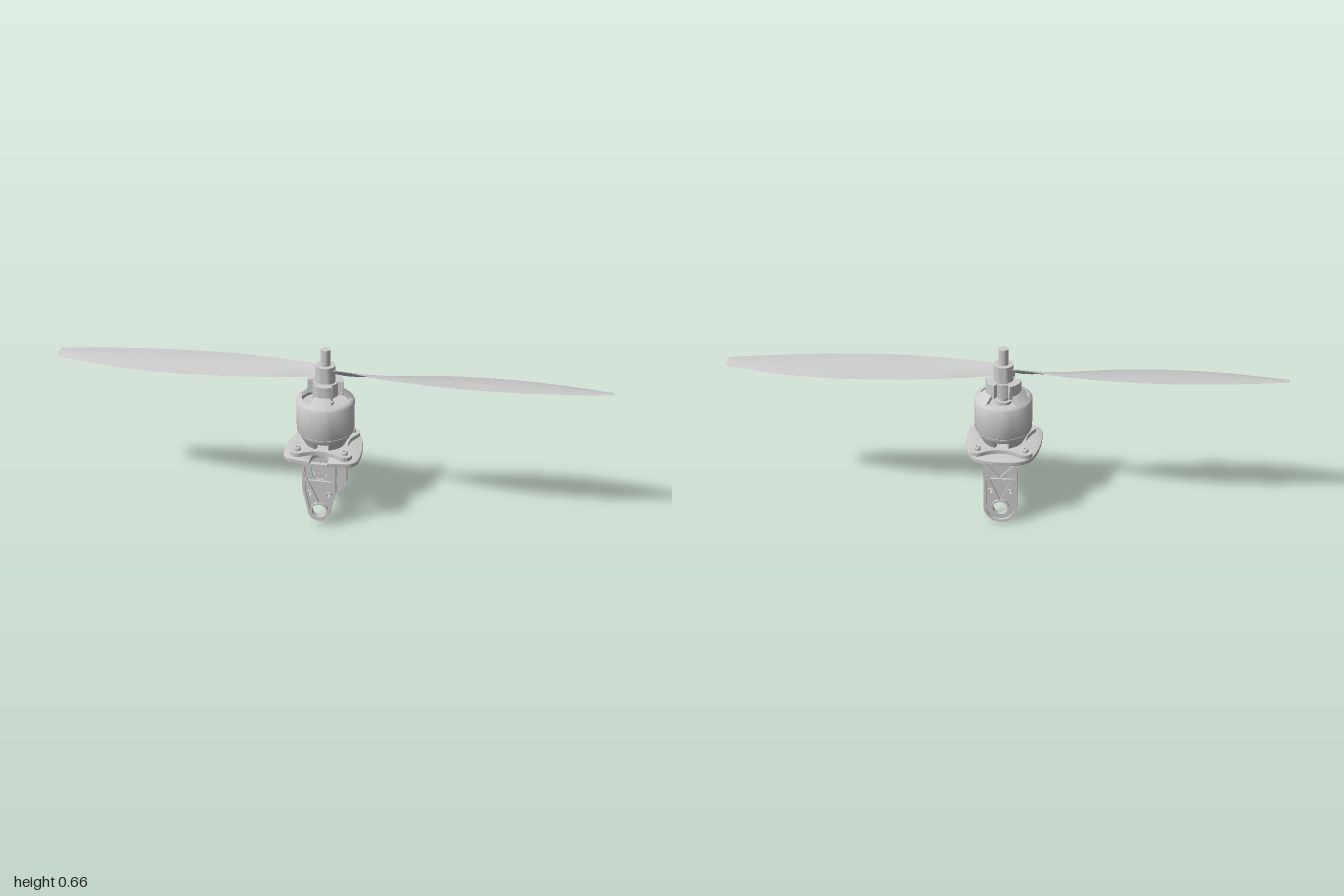
import * as THREE from 'three';
import { toCreasedNormals } from 'three/addons/utils/BufferGeometryUtils.js';

const V2 = (a) => a.map(([x, y]) => new THREE.Vector2(x, y));
const mat = new THREE.MeshStandardMaterial({ color: 0xcccccc, side: THREE.DoubleSide });

function add(parent, name, geo, x = 0, y = 0, z = 0) {
  const m = new THREE.Mesh(toCreasedNormals(geo, 0.6), mat);
  m.name = name;
  m.position.set(x, y, z);
  parent.add(m);
  return m;
}
const lathe = (pts, seg = 40) => new THREE.LatheGeometry(V2(pts), seg);
const extrude = (shape, depth) =>
  new THREE.ExtrudeGeometry(shape, { depth, bevelEnabled: false, curveSegments: 16 });
const circle = (x, y, r) => new THREE.Path().absarc(x, y, r, 0, Math.PI * 2, true);

// Solid wedge of a revolved profile, centred on angle a (measured from +z)
function sector(parent, name, profile, a, half) {
  const g = new THREE.Group();
  g.name = name;
  add(g, name + 'Skin', new THREE.LatheGeometry(V2([...profile, profile[0]]), 10, a - half, half * 2));
  for (const s of [-1, 1]) {
    const cap = add(g, name + 'Side', new THREE.ShapeGeometry(new THREE.Shape(V2(profile))));
    cap.rotation.y = a + s * half - Math.PI / 2;
  }
  parent.add(g);
}

// Leg outline: straight sides running into a rounded foot
function legOutline(Type, hw, r, cy, top) {
  const s = new Type();
  s.moveTo(-hw, top);
  s.lineTo(-hw, 0.15);
  s.lineTo(-r, cy);
  s.absarc(0, cy, r, Math.PI, Math.PI * 2, false);
  s.lineTo(hw, 0.15);
  s.lineTo(hw, top);
  s.closePath();
  return s;
}

// Leg facing +z: flat web inside, raised rim and ribs outside
function makeLeg(name, footR, outerZ, windowed) {
  const g = new THREE.Group();
  g.name = name;
  const cy = 0.065, hw = 0.062, inner = outerZ - 0.017;
  const web = legOutline(THREE.Shape, hw, footR, cy, 0.264);
  web.holes.push(circle(0, cy, 0.027));
  for (const s of [-1, 1]) web.holes.push(circle(s * 0.035, 0.135, 0.007));
  if (windowed) {
    const w = new THREE.Path();
    w.moveTo(-0.028, 0.256);
    w.lineTo(-0.028, 0.222);
    w.absarc(0, 0.222, 0.028, Math.PI, Math.PI * 2, false);
    w.lineTo(0.028, 0.256);
    w.closePath();
    web.holes.push(w);
  }
  add(g, 'legWeb', extrude(web, 0.008), 0, 0, inner);

  const rim = legOutline(THREE.Shape, hw, footR, cy, 0.264);
  rim.holes.push(legOutline(THREE.Path, hw - 0.01, footR - 0.01, cy, 0.254));
  add(g, 'legRim', extrude(rim, 0.009), 0, 0, inner + 0.008);

  const boss = new THREE.Shape().absarc(0, cy, 0.034, 0, Math.PI * 2);
  boss.holes.push(circle(0, cy, 0.027));
  add(g, 'pivotBoss', extrude(boss, 0.009), 0, 0, inner + 0.008);

  const zr = inner + 0.012;
  for (const s of [-1, 1]) {
    // diagonal ribs, screw bosses and inner gussets
    add(g, 'diagonalRib', new THREE.BoxGeometry(0.006, 0.11, 0.008), s * 0.026, 0.15, zr).rotation.z = s * -0.42;
    if (!windowed)
      add(g, 'upperRib', new THREE.BoxGeometry(0.006, 0.075, 0.008), s * 0.027, 0.225, zr).rotation.z = s * -0.75;
    const ring = new THREE.Shape().absarc(s * 0.035, 0.135, 0.012, 0, Math.PI * 2);
    ring.holes.push(circle(s * 0.035, 0.135, 0.007));
    add(g, 'screwBoss', extrude(ring, 0.007), 0, 0, inner + 0.008);
    const gusset = new THREE.Shape(V2([[0, 0.155], [0, 0.264], [0.03, 0.264]]));
    add(g, 'gusset', extrude(gusset, 0.008), s * 0.052 + 0.004, 0, inner).rotation.y = Math.PI / 2;
    g.children.at(-1).position.x -= 0.008;
  }
  add(g, 'crossRib', new THREE.BoxGeometry(0.104, 0.006, 0.008), 0, 0.19, zr);
  return g;
}

// Twisted thin blade running along +x, lofted between its two edges
function bladeGeometry() {
  const rows = [ // x, back z, front z, back y, front y
    [0.0, -0.02, 0.02, 0.565, 0.59], [0.08, -0.018, 0.03, 0.556, 0.593], [0.2, -0.042, 0.052, 0.556, 0.59],
    [0.4, -0.077, 0.066, 0.56, 0.587], [0.6, -0.09, 0.06, 0.562, 0.584],
    [0.8, -0.079, 0.037, 0.564, 0.582], [1.0, -0.044, 0.002, 0.567, 0.58]];
  const back = new THREE.CatmullRomCurve3(rows.map((r) => new THREE.Vector3(r[0], r[3], r[1])));
  const front = new THREE.CatmullRomCurve3(rows.map((r) => new THREE.Vector3(r[0], r[4], r[2])));
  const N = 30, H = 8, L = H * 2, pos = [], idx = [];
  for (let k = 0; k <= N; k++) {
    const t = k / N, A = back.getPoint(t), B = front.getPoint(t);
    for (let j = 0; j < L; j++) {
      const upper = j <= H, s = upper ? j / H : (L - j) / H;
      const p = A.clone().lerp(B, s);
      p.y += Math.sin(Math.PI * s) * (upper ? 0.009 - 0.004 * t : -0.003 + 0.004 * t);
      pos.push(p.x, p.y, p.z);
      if (k < N) {
        const a = k * L + j, b = k * L + (j + 1) % L;
        idx.push(a, b, a + L, b, b + L, a + L);
      }
    }
  }
  for (let j = 1; j < L - 1; j++) idx.push(N * L, N * L + j, N * L + j + 1);
  const g = new THREE.BufferGeometry();
  g.setAttribute('position', new THREE.Float32BufferAttribute(pos, 3));
  g.setIndex(idx);
  return g;
}

export function createModel() {
  const root = new THREE.Group();
  root.name = 'motorAndPropeller';

  // Mounting plate with a wire slot at the front and a centre hole (shape y becomes -z)
  const p = new THREE.Shape();
  p.moveTo(0.032, -0.138);
  p.lineTo(0.095, -0.128);
  p.quadraticCurveTo(0.13, -0.125, 0.138, -0.09);
  p.bezierCurveTo(0.146, -0.03, 0.138, 0.04, 0.118, 0.09);
  p.bezierCurveTo(0.1, 0.13, 0.06, 0.142, 0, 0.142);
  p.bezierCurveTo(-0.06, 0.142, -0.1, 0.13, -0.118, 0.09);
  p.bezierCurveTo(-0.138, 0.04, -0.146, -0.03, -0.138, -0.09);
  p.quadraticCurveTo(-0.13, -0.125, -0.095, -0.128);
  p.lineTo(-0.032, -0.138);
  p.lineTo(-0.032, -0.105);
  p.absarc(0, -0.105, 0.032, Math.PI, 0, true);
  p.closePath();
  p.holes.push(circle(0, 0, 0.045));
  add(root, 'mountingPlate', new THREE.ExtrudeGeometry(p, {
    depth: 0.01, bevelThickness: 0.004, bevelSize: 0.003, bevelOffset: -0.003, bevelSegments: 2, curveSegments: 14,
  }), 0, 0.266, 0).rotation.x = -Math.PI / 2;

  // Legs
  root.add(makeLeg('frontLeg', 0.043, 0.125, true));
  const backLeg = makeLeg('backLeg', 0.062, 0.122, false);
  backLeg.rotation.y = Math.PI;
  root.add(backLeg);

  // Four-lobed motor flange with bolts
  const f = new THREE.Shape();
  for (let i = 0; i < 4; i++) {
    const a = Math.PI / 4 + i * Math.PI / 2, c = 0.122;
    f.absarc(Math.cos(a) * c, Math.sin(a) * c, 0.028, a - 1.4, a + 1.4, false);
    const b = a + Math.PI / 4, n = a + Math.PI / 2;
    f.quadraticCurveTo(Math.cos(b) * 0.062, Math.sin(b) * 0.062,
      Math.cos(n) * c + Math.cos(n - 1.4) * 0.028, Math.sin(n) * c + Math.sin(n - 1.4) * 0.028);
  }
  f.holes.push(circle(0, 0, 0.04));
  add(root, 'motorFlange', extrude(f, 0.016), 0, 0.279, 0).rotation.x = -Math.PI / 2;
  for (const x of [-1, 1]) for (const z of [-1, 1]) {
    const bolt = lathe([[0, 0.25], [0.008, 0.25], [0.008, 0.293], [0.012, 0.293], [0.012, 0.304],
      [0.009, 0.308], [0.005, 0.308], [0.005, 0.303], [0, 0.303]], 14);
    add(root, 'bolt', bolt, x * 0.087, 0, z * 0.087);
  }

  // Motor base: four splayed feet under a ring
  for (let i = 0; i < 4; i++)
    sector(root, 'baseFoot', [[0.055, 0.294], [0.075, 0.294], [0.096, 0.334], [0.075, 0.334]],
      Math.PI / 4 + i * Math.PI / 2, 0.46);
  add(root, 'baseRing', lathe([[0, 0.325], [0.091, 0.325], [0.103, 0.346], [0.103, 0.348], [0, 0.348]]));

  // Motor can with stator inside
  add(root, 'motorCan', lathe([[0.094, 0.35], [0.104, 0.35], [0.1055, 0.353], [0.1055, 0.466], [0.103, 0.47],
    [0.092, 0.476], [0.086, 0.476], [0.094, 0.46], [0.094, 0.35]]));
  add(root, 'stator', lathe([[0, 0.345], [0.088, 0.345], [0.088, 0.45], [0.03, 0.45], [0.03, 0.46], [0, 0.46]]));

  // Three spokes rising to a three-lobed hub
  for (let i = 0; i < 3; i++) {
    const a = i * Math.PI * 2 / 3;
    sector(root, 'canSpoke', [[0.03, 0.488], [0.062, 0.488], [0.085, 0.468], [0.101, 0.471], [0.066, 0.501], [0.03, 0.501]], a, 0.44);
    sector(root, 'hubLobe', [[0.03, 0.49], [0.065, 0.49], [0.065, 0.542], [0.03, 0.542]], a, 0.6);
  }
  add(root, 'hubCore', lathe([[0, 0.488], [0.046, 0.488], [0.046, 0.54], [0, 0.54]], 24));
  add(root, 'innerShaft', new THREE.CylinderGeometry(0.018, 0.018, 0.04, 20), 0, 0.475, 0);

  // Propeller and its shaft
  const prop = new THREE.Group();
  prop.name = 'propeller';
  add(prop, 'propellerHub', lathe([[0, 0.54], [0.036, 0.54], [0.036, 0.603], [0.018, 0.603], [0, 0.603]], 24));
  add(prop, 'leftBlade', bladeGeometry());
  add(prop, 'rightBlade', bladeGeometry()).rotation.y = Math.PI;
  root.add(prop);
  add(root, 'shaft', new THREE.CylinderGeometry(0.018, 0.018, 0.065, 20), 0, 0.6305, 0);
  return root;
}
